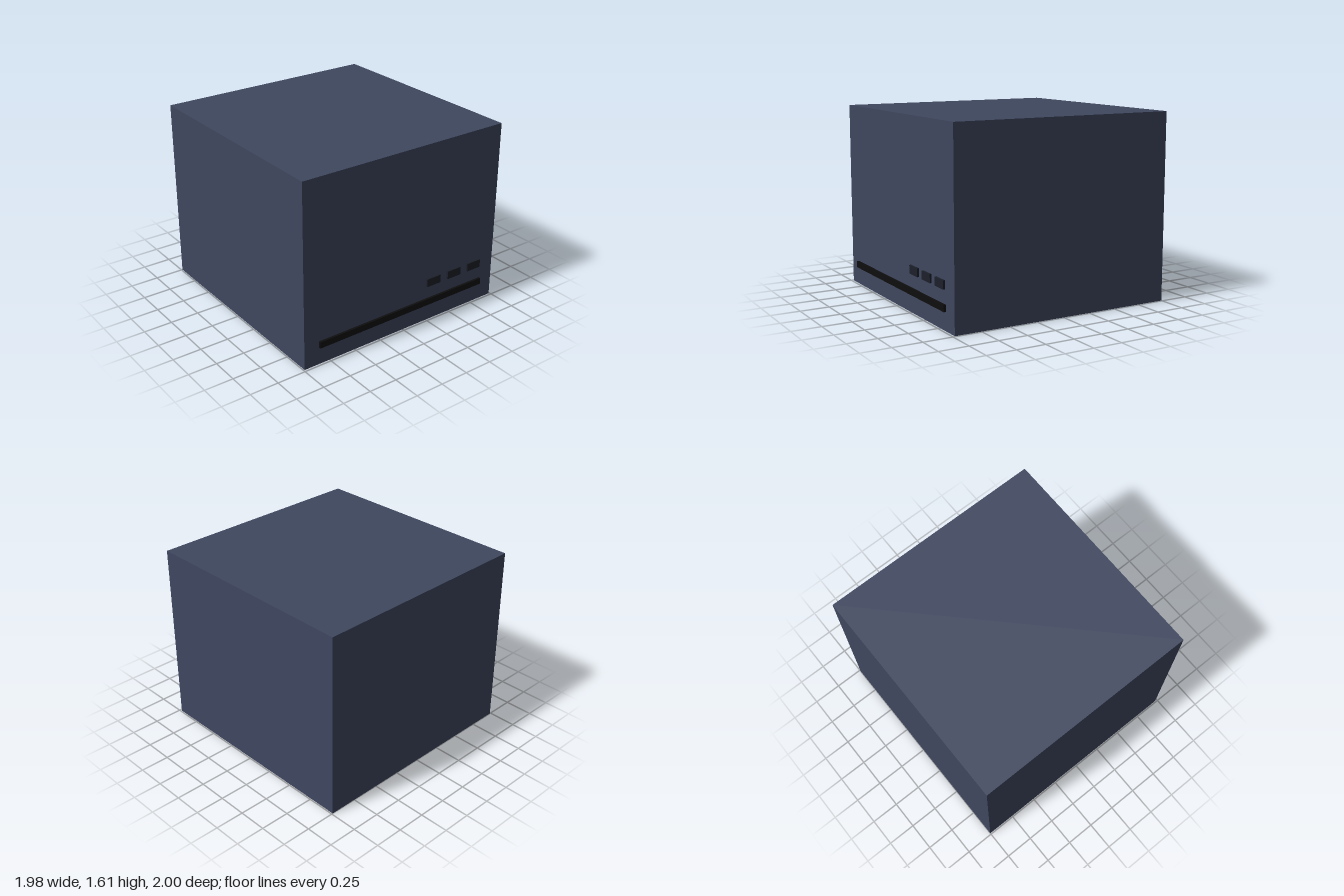
import * as THREE from 'three';

const material = (color) => new THREE.MeshStandardMaterial({ color });

// Box given by its centre in x and y, its size, and its back and front z
function addBox(parent, name, mat, x, y, width, height, back, front) {
  const mesh = new THREE.Mesh(new THREE.BoxGeometry(width, height, front - back), mat);
  mesh.name = name;
  mesh.position.set(x, y, (back + front) / 2);
  parent.add(mesh);
  return mesh;
}

export function createModel() {
  const model = new THREE.Group();
  model.name = 'consoleBox';

  const bodyMat = material(0x3f475f);
  const slotMat = material(0x0e0e0e);
  const buttonMat = material(0x1c2029);

  // Main casing
  addBox(model, 'casing', bodyMat, 0, 0.803, 1.98, 1.606, -1, 0.98);

  // Long slot strip low on the front
  addBox(model, 'frontSlot', slotMat, 0, 0.182, 1.704, 0.056, 0.96, 1);

  // Row of three buttons above the slot
  const buttons = new THREE.Group();
  buttons.name = 'buttons';
  for (let i = 0; i < 3; i++) {
    addBox(buttons, `button${i + 1}`, buttonMat, 0.315 + i * 0.225, 0.362, 0.144, 0.072, 0.96, 0.996);
  }
  model.add(buttons);

  return model;
}
